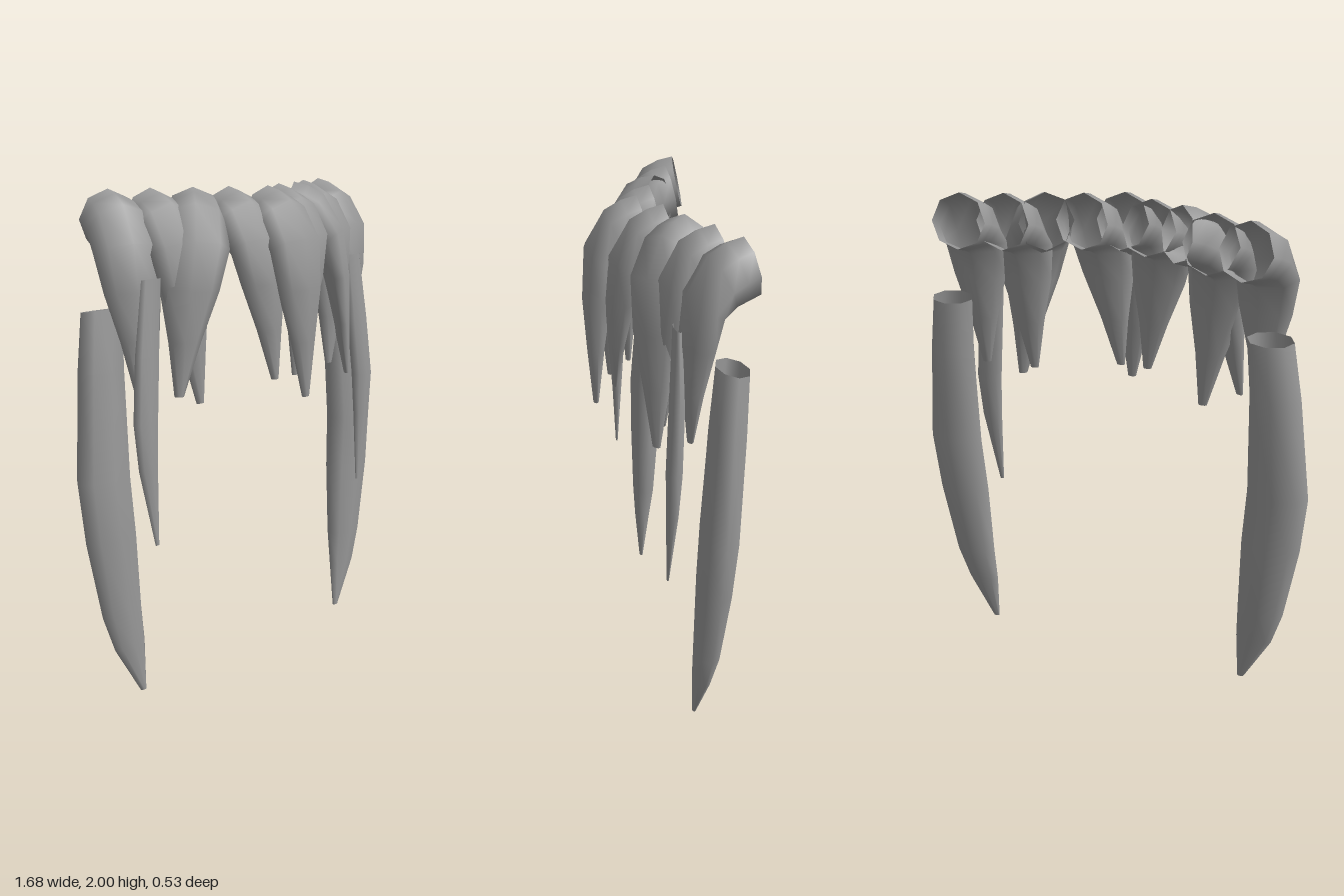
import * as THREE from 'three';

const SIDES = 8;

// Open-topped tube through oval rings, closed at the tip.
// Each ring: centre x, half width, front edge z/y, back edge z/y.
function hornGeometry(rings, place = (x, y, z) => [x, y, z]) {
  const pos = [], index = [];
  for (const [cx, hw, fz, fy, bz, by] of rings) {
    for (let j = 0; j < SIDES; j++) {
      const a = (j / SIDES) * Math.PI * 2, s = Math.sin(a) / 2;
      pos.push(...place(
        cx + hw * Math.cos(a),
        (fy + by) / 2 + (fy - by) * s,
        (fz + bz) / 2 + (fz - bz) * s));
    }
  }
  for (let i = 0; i < rings.length - 1; i++) {
    for (let j = 0; j < SIDES; j++) {
      const k = (j + 1) % SIDES, a = i * SIDES + j, b = i * SIDES + k;
      index.push(a, b, a + SIDES, b, b + SIDES, a + SIDES);
    }
  }
  const last = (rings.length - 1) * SIDES;
  for (let j = 1; j < SIDES - 1; j++) index.push(last, last + j, last + j + 1);
  const g = new THREE.BufferGeometry();
  g.setAttribute('position', new THREE.Float32BufferAttribute(pos, 3));
  g.setIndex(index);
  g.computeVertexNormals();
  return g;
}

// Hooked tooth, rim facing back, z measured from the rim centre
const TOOTH = [
  [0, 0.11, 0.02, 2.0, -0.025, 1.78],
  [0, 0.12, 0.08, 1.985, 0.015, 1.765],
  [0, 0.128, 0.145, 1.95, 0.06, 1.75],
  [0, 0.136, 0.225, 1.81, 0.1, 1.725],
  [0, 0.112, 0.238, 1.61, 0.122, 1.6],
  [0, 0.062, 0.225, 1.4, 0.155, 1.4],
  [0, 0.018, 0.207, 1.175, 0.185, 1.175],
];

// Rim x, rim z, yaw in degrees, sideways lean of the tip, tip height
const TEETH = [
  [0, 0.025, 0, 0.04, 1.175],
  [-0.14, -0.05, 0, 0.08, 1.25], [0.14, -0.05, 0, -0.08, 1.25],
  [-0.27, -0.095, -38, -0.1, 1.235], [0.27, -0.095, 38, 0.09, 1.18],
  [-0.43, -0.175, 0, 0.08, 1.18], [0.42, -0.175, 4, -0.03, 1.23],
  [-0.58, -0.235, -12, 0.02, 1.25], [0.58, -0.235, 8, -0.01, 1.25],
];

const SMALL_TUSK = [
  [0.568, 0.048, 0.02, 1.685, -0.01, 1.68],
  [0.602, 0.058, 0.04, 1.4, -0.018, 1.4],
  [0.627, 0.058, 0.055, 1.15, -0.008, 1.15],
  [0.624, 0.046, 0.052, 0.97, 0.005, 0.97],
  [0.597, 0.009, 0.042, 0.66, 0.033, 0.66],
];

const LARGE_TUSK = [
  [0.667, 0.09, -0.108, 1.57, -0.233, 1.55],
  [0.693, 0.1, -0.082, 1.34, -0.225, 1.33],
  [0.718, 0.122, -0.053, 0.92, -0.203, 0.92],
  [0.7, 0.12, -0.05, 0.68, -0.187, 0.68],
  [0.67, 0.096, -0.053, 0.36, -0.155, 0.36],
  [0.646, 0.075, -0.058, 0.21, -0.125, 0.21],
  [0.594, 0.014, -0.07, 0, -0.086, 0],
];

export function createModel() {
  const group = new THREE.Group();
  const grey = new THREE.MeshStandardMaterial({ color: 0x999999, side: THREE.DoubleSide });
  grey.name = 'plain grey';
  const add = (name, geometry) => {
    const mesh = new THREE.Mesh(geometry, grey);
    mesh.name = name;
    group.add(mesh);
  };

  // Arch of hooked teeth, turned and leaned one by one
  TEETH.forEach(([px, pz, yaw, lean, tipY], i) => {
    const a = THREE.MathUtils.degToRad(yaw), c = Math.cos(a), s = Math.sin(a);
    add(`hookedTooth${i + 1}`, hornGeometry(TOOTH, (x, y, z) => {
      const t = Math.max(0, (1.85 - y) / 0.675);
      return [px + x * c + z * s + lean * t, y + (tipY - 1.175) * t, pz - x * s + z * c];
    }));
  });

  // Mirrored pairs of straight tusks
  for (const [side, m] of [['left', 1], ['right', -1]]) {
    const flip = (rings) => rings.map(([x, ...rest]) => [x * m, ...rest]);
    add(`${side}SmallTusk`, hornGeometry(flip(SMALL_TUSK)));
    add(`${side}LargeTusk`, hornGeometry(flip(LARGE_TUSK)));
  }
  return group;
}
